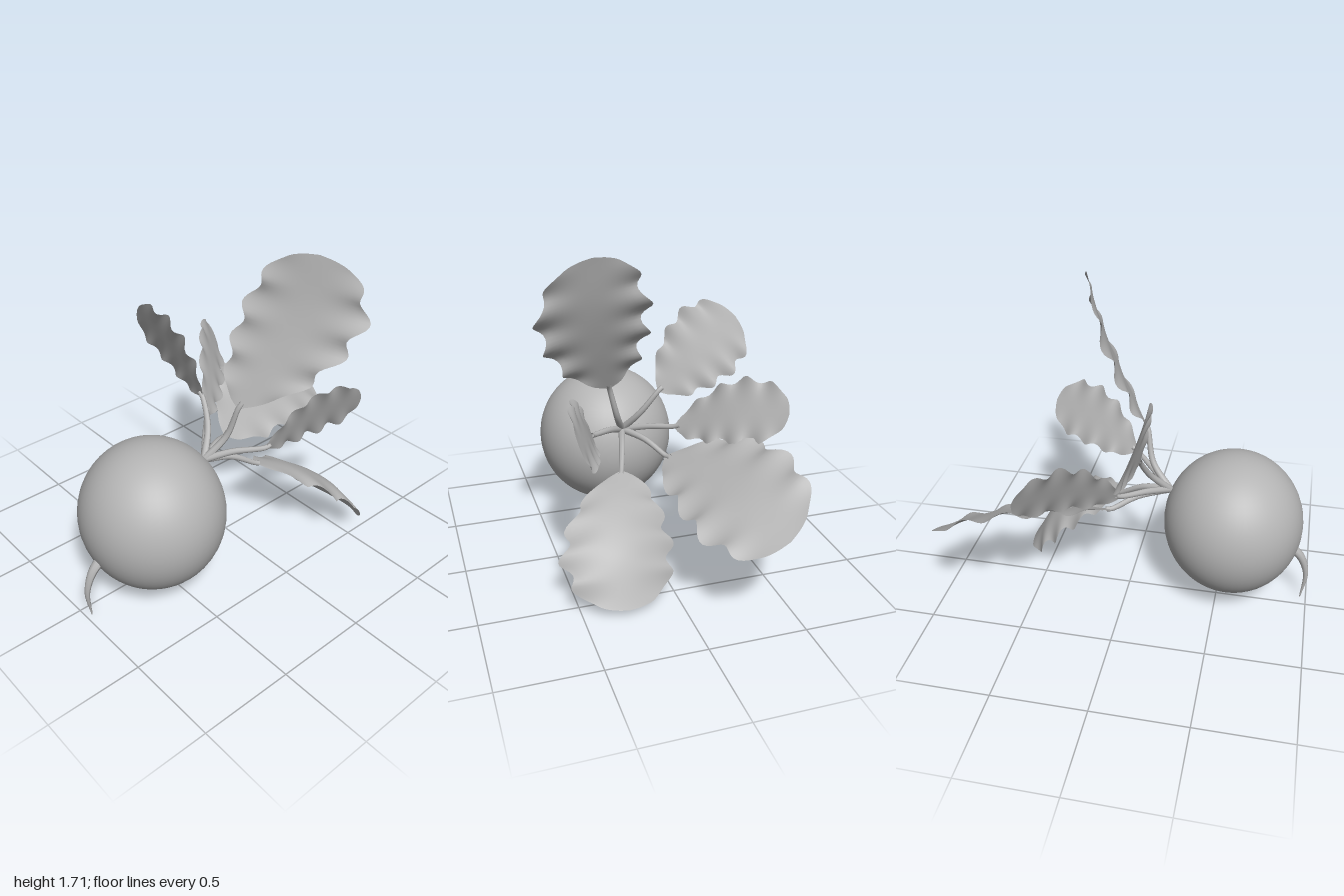
import * as THREE from 'three';

const grey = new THREE.MeshStandardMaterial({ color: 0xb4b4b4, side: THREE.DoubleSide });
grey.name = 'plain grey';

const vec = (p) => new THREE.Vector3(...p);
const curveOf = (points) => new THREE.CatmullRomCurve3(points.map(vec));
const addMesh = (parent, name, geometry) => {
  const mesh = new THREE.Mesh(geometry, grey);
  mesh.name = name;
  parent.add(mesh);
  return mesh;
};

// Round tube whose radius runs from r0 to r1
function taperedTube(points, r0, r1, segments = 20, sides = 10) {
  const curve = curveOf(points);
  const geometry = new THREE.TubeGeometry(curve, segments, 1, sides, false);
  const pos = geometry.attributes.position;
  const v = new THREE.Vector3();
  for (let i = 0; i < pos.count; i++) {
    const t = Math.floor(i / (sides + 1)) / segments;
    const centre = curve.getPointAt(t);
    v.fromBufferAttribute(pos, i).sub(centre);
    v.multiplyScalar(r0 + (r1 - r0) * t).add(centre);
    pos.setXYZ(i, v.x, v.y, v.z);
  }
  geometry.computeVertexNormals();
  return geometry;
}

// Relative half-width of a blade from its base to its rounded tip
const outline = new THREE.SplineCurve(
  [[0, 0.04], [0.06, 0.3], [0.18, 0.62], [0.35, 0.85], [0.55, 1], [0.72, 1],
    [0.86, 0.85], [0.95, 0.56], [0.985, 0.3], [1, 0.02]].map((p) => new THREE.Vector2(...p)));

// Blade swept along its midrib; side is the half-width vector.
// cup drops both edges to one side, ripple waves them.
function bladeGeometry({ rib, side, cup, ripple, phase }) {
  const rows = 70, cols = 16;
  const geometry = new THREE.PlaneGeometry(1, 1, cols, rows);
  const pos = geometry.attributes.position;
  const curve = curveOf(rib);
  const width = vec(side);
  for (let r = 0; r <= rows; r++) {
    const edge = outline.getPoint(r / rows);
    const u = THREE.MathUtils.clamp(edge.x, 0, 1);
    const centre = curve.getPointAt(u);
    const normal = curve.getTangentAt(u).cross(width).normalize();
    const fade = Math.min(1, u * 4) * Math.min(1, (1 - u) * 5);
    for (let c = 0; c <= cols; c++) {
      const v = (c / cols) * 2 - 1;
      const a = Math.abs(v);
      const wave = u * Math.PI * 9 + phase + (v > 0 ? 0 : 0.9);
      const spread = v * edge.y * (1 + 0.1 * a * a * fade * Math.sin(wave + 1));
      const lift = ripple * fade * a ** 2.5 * Math.sin(wave) + cup * (v * edge.y) ** 2;
      const p = centre.clone().addScaledVector(width, spread).addScaledVector(normal, lift);
      pos.setXYZ(r * (cols + 1) + c, p.x, p.y, p.z);
    }
  }
  geometry.computeVertexNormals();
  return geometry;
}

const crown = [-0.21, 0.625, 0.07];
const leaves = [
  { name: 'tallLeaf', bend: [-0.105, 0.75, 0.125], cup: 0.015, ripple: 0.02, phase: 0,
    rib: [[-0.065, 0.93, 0.175], [0.1, 1.2, 0.27], [0.225, 1.46, 0.33], [0.295, 1.71, 0.34]],
    side: [0.095, -0.01, 0.285] },
  { name: 'backLeaf', bend: [-0.115, 0.75, -0.01], cup: 0, ripple: 0.014, phase: 1,
    rib: [[-0.075, 0.88, -0.1], [-0.09, 1.08, -0.32], [-0.14, 1.24, -0.56]],
    side: [-0.055, 0.16, 0.125] },
  { name: 'upperBackLeaf', bend: [-0.1, 0.67, -0.05], cup: 0, ripple: 0.014, phase: 2,
    rib: [[0.01, 0.7, -0.165], [0.24, 0.85, -0.39], [0.45, 0.89, -0.62]],
    side: [-0.045, 0.15, -0.04] },
  { name: 'longLeaf', bend: [-0.05, 0.615, -0.02], cup: 0, ripple: 0.018, phase: 0.5,
    rib: [[0.08, 0.565, -0.095], [0.36, 0.605, -0.22], [0.68, 0.59, -0.3], [0.99, 0.5, -0.39]],
    side: [0.06, -0.14, 0.24] },
  { name: 'upperFrontLeaf', bend: [-0.1, 0.675, 0.17], cup: 0, ripple: 0.014, phase: 3,
    rib: [[0.02, 0.71, 0.295], [0.26, 0.84, 0.38], [0.53, 0.89, 0.48]],
    side: [-0.05, 0.15, 0.045] },
  { name: 'lowFrontLeaf', bend: [-0.06, 0.595, 0.11], cup: 0.065, ripple: 0.016, phase: 1.5,
    rib: [[0.08, 0.51, 0.155], [0.28, 0.44, 0.23], [0.5, 0.28, 0.28], [0.65, 0.04, 0.28]],
    side: [0, 0.01, 0.27] },
];

export function createModel() {
  const model = new THREE.Group();
  model.name = 'rootVegetable';

  // Round body, with a thin curling root on one side
  const body = addMesh(model, 'body', new THREE.SphereGeometry(1, 48, 32));
  body.scale.set(0.377, 0.397, 0.386);
  body.position.set(-0.563, 0.464, 0.073);
  addMesh(model, 'rootTail', taperedTube(
    [[-0.87, 0.35, 0.07], [-0.945, 0.28, 0.07], [-0.984, 0.17, 0.068], [-0.968, 0.003, 0.062]],
    0.03, 0.003));

  // Leaves fanning out from the crown, each with a stalk and a blade
  for (const leaf of leaves) {
    const group = new THREE.Group();
    group.name = leaf.name;
    const base = vec(leaf.rib[0]);
    const next = base.clone().lerp(vec(leaf.rib[1]), 0.1);
    addMesh(group, 'stalk', taperedTube(
      [crown, leaf.bend, base.toArray(), next.toArray()], 0.02, 0.013));
    addMesh(group, 'blade', bladeGeometry(leaf));
    model.add(group);
  }
  return model;
}
